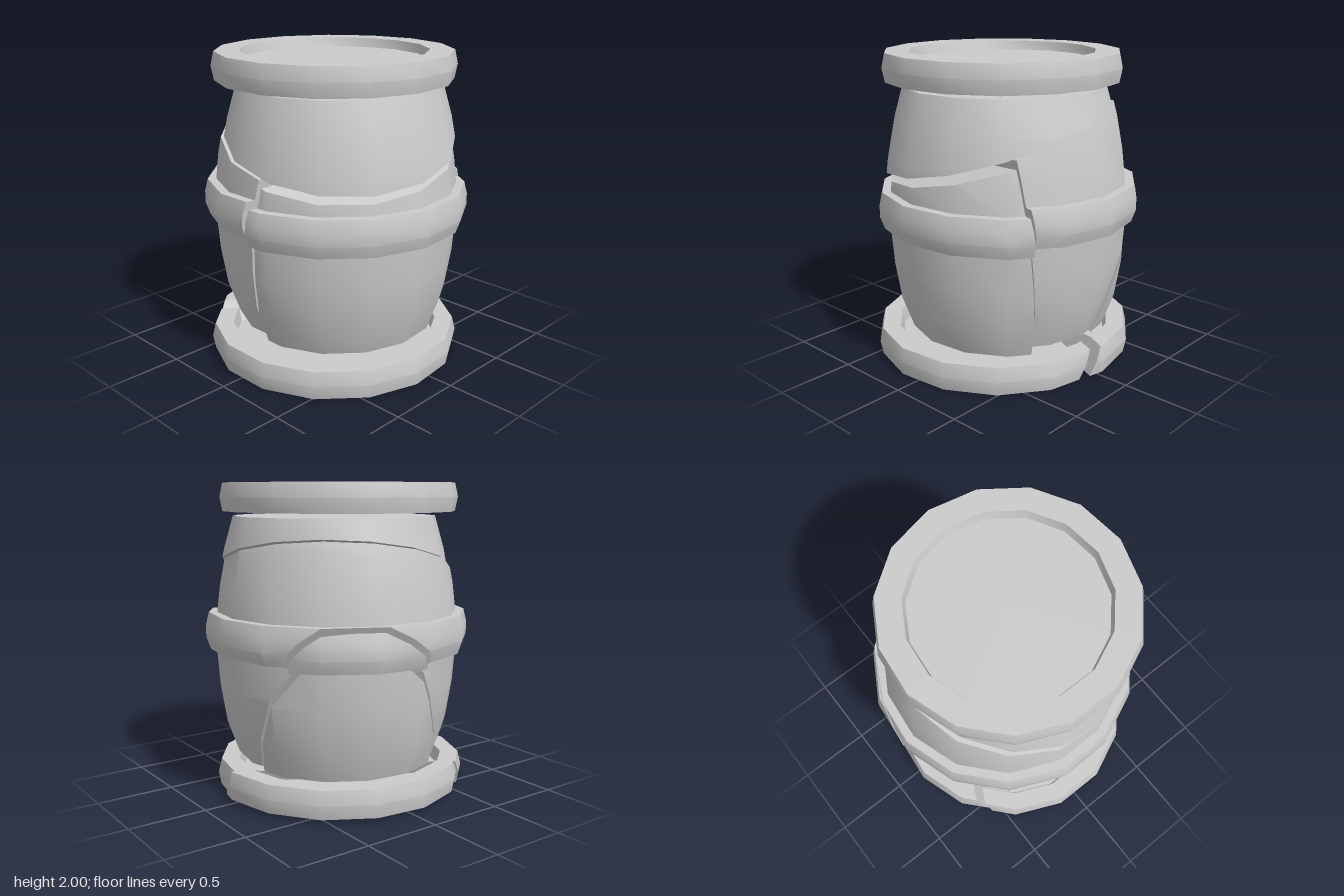
import * as THREE from 'three';
import { toCreasedNormals } from 'three/addons/utils/BufferGeometryUtils.js';

const SIDES = 15;
const material = new THREE.MeshStandardMaterial({ color: 0xcccccc });

// Turned solid as a list of polygons; profile [radius, y] runs from bottom axis to top axis
function turn(profile) {
  const polys = [];
  const point = ([r, y], k) => {
    const a = (k % SIDES) / SIDES * Math.PI * 2;
    return new THREE.Vector3(r * Math.cos(a), y, r * Math.sin(a));
  };
  for (let i = 0; i < profile.length - 1; i++) {
    const lo = profile[i], hi = profile[i + 1];
    for (let k = 0; k < SIDES; k++) {
      const poly = [point(lo, k)];
      if (hi[0] > 0) poly.push(point(hi, k), point(hi, k + 1));
      else poly.push(point(hi, k));
      if (lo[0] > 0) poly.push(point(lo, k + 1));
      polys.push(poly);
    }
  }
  return polys;
}

// Keep the part where n . p < d and close the broken face
function cut(polys, [nx, ny, nz], d) {
  const n = new THREE.Vector3(nx, ny, nz);
  const kept = [], edges = [];
  for (const poly of polys) {
    const out = [];
    let leave, enter;
    poly.forEach((p, i) => {
      const q = poly[(i + 1) % poly.length];
      const dp = n.dot(p) - d, dq = n.dot(q) - d;
      if (dp < 0) out.push(p);
      if ((dp < 0) !== (dq < 0)) {
        const c = p.clone().lerp(q, dp / (dp - dq));
        out.push(c);
        if (dp < 0) leave = c; else enter = c;
      }
    });
    if (out.length > 2) kept.push(out);
    if (leave && enter) edges.push([enter, leave]);
  }
  const centre = new THREE.Vector3();
  edges.forEach(([a, b]) => centre.add(a).add(b));
  centre.divideScalar(Math.max(1, edges.length * 2));
  edges.forEach(([a, b]) => kept.push([a, b, centre]));
  return kept;
}

const flip = (v) => v.map((c) => -c);

function piece(name, polys, x, y, z) {
  const pos = [];
  for (const p of polys) {
    for (let i = 1; i < p.length - 1; i++) {
      for (const v of [p[0], p[i], p[i + 1]]) pos.push(v.x, v.y, v.z);
    }
  }
  const geo = new THREE.BufferGeometry();
  geo.setAttribute('position', new THREE.Float32BufferAttribute(pos, 3));
  const mesh = new THREE.Mesh(toCreasedNormals(geo, 0.5), material);
  mesh.name = name;
  mesh.position.set(x, y, z);
  return mesh;
}

export function createModel() {
  const group = new THREE.Group();
  group.name = 'brokenBarrel';

  // Bulging body with the raised band round its middle
  const body = turn([
    [0, 0.24], [0.66, 0.24], [0.735, 0.45], [0.775, 0.7], [0.793, 0.94],
    [0.832, 0.94], [0.86, 1.02], [0.86, 1.1], [0.84, 1.18],
    [0.785, 1.18], [0.765, 1.35], [0.72, 1.58], [0.66, 1.79], [0, 1.79],
  ]);
  const lid = turn([
    [0, 0.04], [0.6, 0.04], [0.6, 0], [0.757, 0], [0.775, 0.09],
    [0.755, 0.18], [0.6, 0.18], [0.585, 0.12], [0, 0.12],
  ]);
  const base = turn([
    [0, 0.04], [0.65, 0.04], [0.66, 0], [0.815, 0], [0.832, 0.09],
    [0.81, 0.18], [0.69, 0.18], [0.67, 0.09], [0, 0.09],
  ]);

  // Break planes: sloping top break, upright front break, leaning back break
  const topN = [-0.18, 1, 0.22];
  const frontN = [-0.3, -0.12, 1];
  const backN = [0.447, -0.47, -0.894];

  const lower = cut(body, topN, 1.465);
  const rear = cut(lower, frontN, 0.171);
  group.add(
    piece('upperBody', cut(body, flip(topN), -1.475), 0, 0, 0.03),
    piece('frontBody', cut(lower, flip(frontN), -0.181), 0.01, -0.05, 0),
    piece('middleBody', cut(rear, backN, 0.255), 0, 0, 0),
    piece('backBody', cut(rear, flip(backN), -0.265), 0, -0.03, -0.005),
    piece('lid', lid, -0.03, 1.82, 0.015),
    piece('frontBase', cut(base, backN, 0.255), -0.05, 0, 0.03),
    piece('backBase', cut(base, flip(backN), -0.265), 0, 0.028, 0),
  );
  return group;
}
